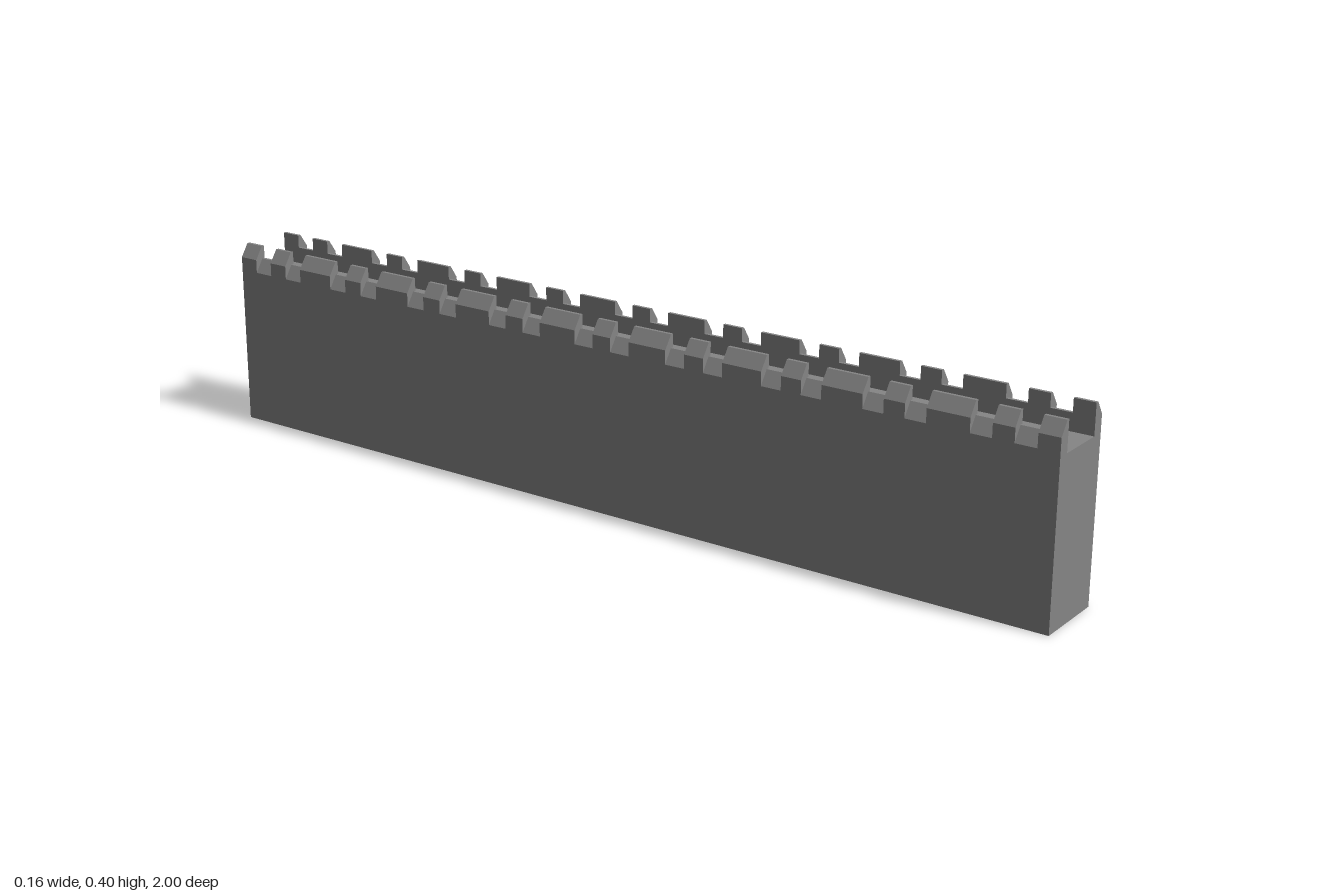
import * as THREE from 'three';

const LENGTH = 2, BAYS = 9, UNIT = LENGTH / (BAYS * 5);
const OUT = 0.08, RIM = 0.061, IN = 0.054;      // half-widths of the wall
const WALK = 0.34, LOW = 0.347, MID = 0.376, TOP = 0.404; // heights

// Extrude an x-y outline along z between two stations
function prism(points, z0, z1, material, name) {
  const shape = new THREE.Shape(points.map(([x, y]) => new THREE.Vector2(x, y)));
  const geometry = new THREE.ExtrudeGeometry(shape, { depth: z1 - z0, bevelEnabled: false });
  const mesh = new THREE.Mesh(geometry, material);
  mesh.position.z = z0;
  mesh.name = name;
  return mesh;
}

export function createModel() {
  const group = new THREE.Group();
  group.name = 'castleWall';
  const stone = new THREE.MeshStandardMaterial({ color: 0x858585, flatShading: true });

  // Wall with sunken walkway and low sloped parapets
  const half = [[OUT, 0], [OUT, LOW], [RIM, MID], [IN, MID], [IN, WALK]];
  const mirrored = half.map(([x, y]) => [-x, y]).reverse();
  group.add(prism([...half, ...mirrored], -LENGTH / 2, LENGTH / 2, stone, 'wallBody'));

  // Merlons fill the parapet between gaps at units 1 and 3 of every 5-unit bay
  const runs = [];
  let start = 0;
  for (let bay = 0; bay < BAYS; bay++) {
    for (const gap of [1, 3]) {
      runs.push([start, bay * 5 + gap]);
      start = bay * 5 + gap + 1;
    }
  }
  runs.push([start, BAYS * 5]);

  const outline = [[IN, MID], [RIM, MID], [OUT, LOW], [OUT, MID], [RIM, TOP], [IN, TOP]];
  for (const side of [1, -1]) {
    const parapet = new THREE.Group();
    parapet.name = side > 0 ? 'leftMerlons' : 'rightMerlons';
    const section = outline.map(([x, y]) => [x * side, y]);
    for (const [a, b] of runs) {
      parapet.add(prism(section, a * UNIT - LENGTH / 2, b * UNIT - LENGTH / 2, stone, 'merlon'));
    }
    group.add(parapet);
  }
  return group;
}
